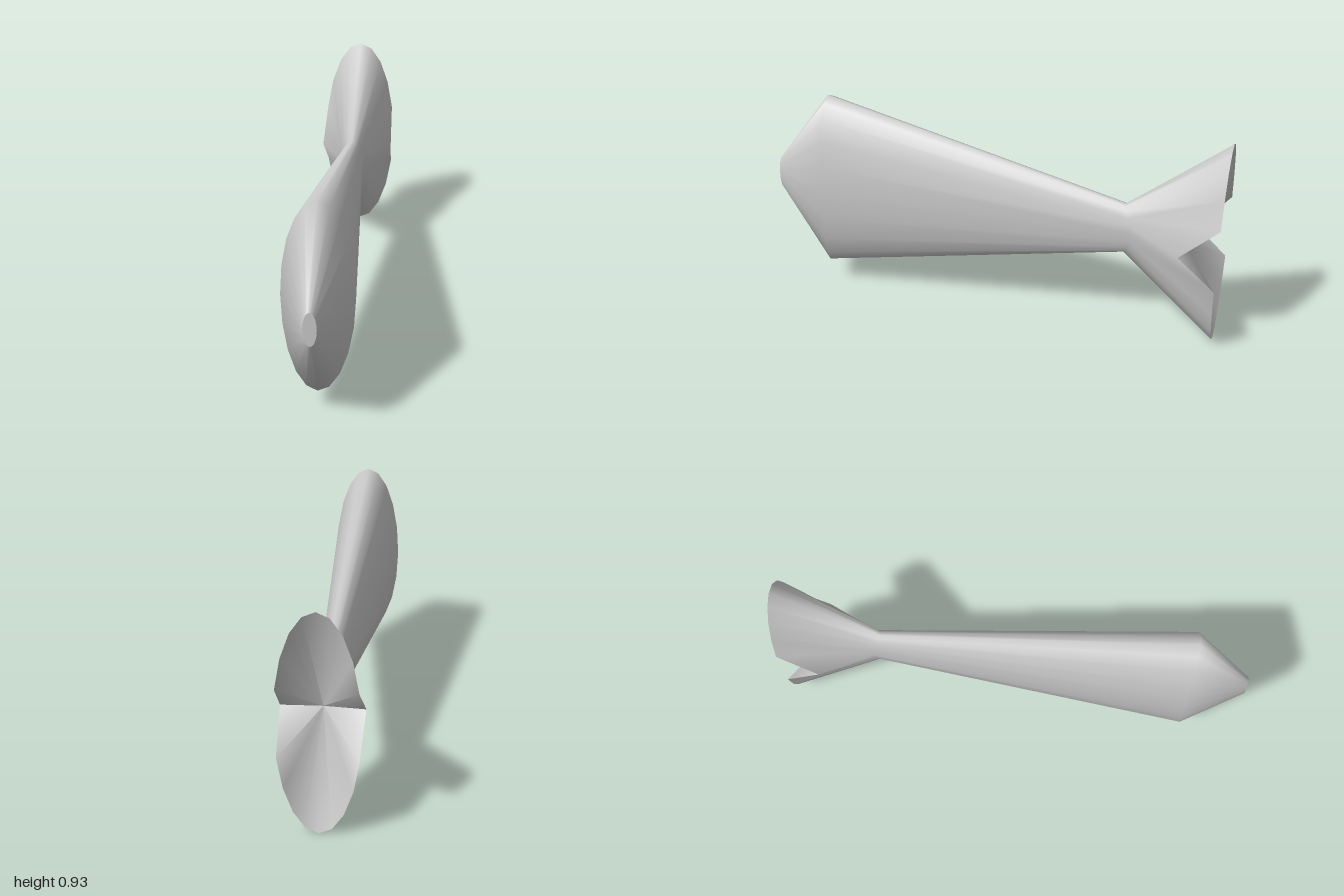
import * as THREE from 'three';
import { toCreasedNormals } from 'three/addons/utils/BufferGeometryUtils.js';

const SIDES = 20;

// Elliptical cross-sections from nose to tail; tilt leans the ring, bow pushes its flanks back
const SECTIONS = [
  { z: 1.0, y: 0.505, rx: 0.027, ry: 0.073, tilt: 0, bow: 0 },
  { z: 0.765, y: 0.502, rx: 0.147, ry: 0.409, tilt: -0.01, bow: -0.025 },
  { z: -0.575, y: 0.475, rx: 0.05, ry: 0.115, tilt: 0, bow: -0.03 },
  { z: -0.991, y: 0.463, rx: 0.165, ry: 0.463, tilt: -0.009, bow: 0 },
];

function ring(s, notchZ) {
  return Array.from({ length: SIDES }, (_, k) => {
    const a = (k / SIDES) * Math.PI * 2;
    const c = Math.cos(a), n = Math.sin(a);
    // The two flank corners of the tail are pulled forward into a notch
    const z = notchZ !== undefined && k % (SIDES / 2) === 0 ? notchZ : s.z + s.tilt * n + s.bow * c * c;
    return [s.rx * c, s.y + s.ry * n, z];
  });
}

function geometryFrom(points, index) {
  const g = new THREE.BufferGeometry();
  g.setAttribute('position', new THREE.Float32BufferAttribute(points.flat(), 3));
  g.setIndex(index);
  g.computeVertexNormals();
  return g;
}

// Skin between consecutive rings, smooth throughout
function skin(rings) {
  const index = [];
  for (let i = 0; i < rings.length - 1; i++) {
    for (let k = 0; k < SIDES; k++) {
      const n = (k + 1) % SIDES;
      const a = i * SIDES + k, b = i * SIDES + n;
      const c = a + SIDES, d = b + SIDES;
      index.push(a, c, b, b, c, d);
    }
  }
  return geometryFrom(rings.flat(), index);
}

// Fan from a hub point to a ring
function fan(points, hub, facesBack) {
  const index = [];
  for (let k = 0; k < SIDES; k++) {
    const n = (k + 1) % SIDES;
    index.push(SIDES, facesBack ? n : k, facesBack ? k : n);
  }
  return geometryFrom([...points, hub], index);
}

export function createModel() {
  const group = new THREE.Group();
  group.name = 'fish';
  const material = new THREE.MeshStandardMaterial({ color: 0xcccccc });
  const add = (name, geometry) => {
    const mesh = new THREE.Mesh(geometry, material);
    mesh.name = name;
    group.add(mesh);
  };

  const rings = SECTIONS.map((s, i) => ring(s, i === 3 ? -0.83 : undefined));

  // Head, body and forked tail
  add('body', skin(rings));
  // Flat mouth
  add('mouth', fan(rings[0], [0, 0.505, 1], false));
  // Hollow back of the tail
  add('tailHollow', toCreasedNormals(fan(rings[3], [0, 0.463, -0.82], true), Math.PI / 3));

  return group;
}
